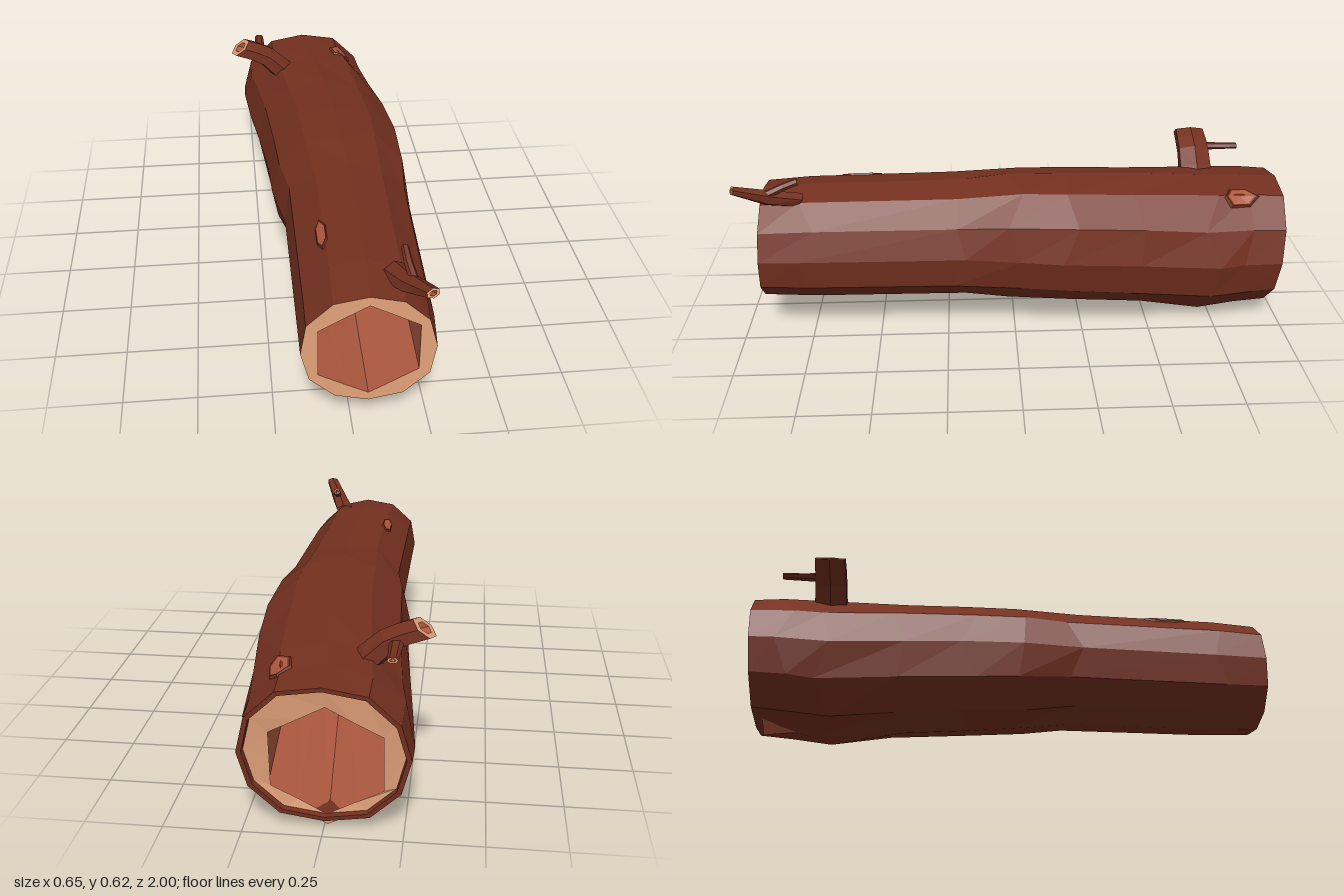
import * as THREE from 'three';

const mat = (color) => new THREE.MeshStandardMaterial({ color, flatShading: true, side: THREE.DoubleSide });
const bark = mat(0x74301f), wood = mat(0xe0a078), core = mat(0xb05a40);
const N = 12;
const V = (x, y, z) => new THREE.Vector3(x, y, z);

// Log cross-sections, front to back: z, xMin, xMax, yMin, yMax
const sections = [
  [0.922, -0.165, 0.265, 0.105, 0.51],
  [0.75, -0.165, 0.28, 0.1, 0.525],
  [0.2, -0.165, 0.3, 0.105, 0.535],
  [0, -0.2, 0.315, 0.075, 0.55],
  [-0.2, -0.21, 0.325, 0.06, 0.548],
  [-0.45, -0.23, 0.31, 0.035, 0.535],
  [-0.72, -0.258, 0.29, 0, 0.515],
  [-0.86, -0.275, 0.267, 0.01, 0.505],
  [-0.978, -0.272, 0.262, 0.02, 0.495],
];

// Skins a list of closed rings; each ring holds the same number of points
function loft(name, rings, material) {
  const pos = [];
  for (let k = 0; k < rings.length - 1; k++) {
    const A = rings[k], B = rings[k + 1];
    for (let i = 0; i < A.length; i++) {
      const j = (i + 1) % A.length;
      for (const p of [A[i], B[i], B[j], A[i], B[j], A[j]]) pos.push(p.x, p.y, p.z);
    }
  }
  const g = new THREE.BufferGeometry();
  g.setAttribute('position', new THREE.Float32BufferAttribute(pos, 3));
  g.computeVertexNormals();
  const mesh = new THREE.Mesh(g, material);
  mesh.name = name;
  return mesh;
}

// Uneven twelve-sided bark outline; the two ends lean slightly
function barkRing([z, x0, x1, y0, y1], k) {
  const lean = k === 0 ? -0.008 : k === sections.length - 1 ? -0.018 : 0;
  return Array.from({ length: N }, (_, i) => {
    const a = (i / N) * Math.PI * 2;
    const onAxis = i % 3 === 0;
    const f = onAxis ? 1 : 1.03 + 0.025 * Math.sin(i * 5.3 + Math.floor(k / 3) * 2.1);
    const shift = k > 0 && k < sections.length - 1 ? 0.03 * Math.sin(i * 2.7 + k * 1.9) : 0;
    return V((x0 + x1) / 2 + (x1 - x0) / 2 * f * Math.cos(a),
      (y0 + y1) / 2 + (y1 - y0) / 2 * f * Math.sin(a), z + shift + lean * Math.sin(a));
  });
}

// Hexagon carried by twelve points so that it joins the bark outline
function hexRing(cx, cy, rx, ry, z, lean = 0) {
  return Array.from({ length: N }, (_, i) => {
    const a = (i / N) * Math.PI * 2, f = i % 2 ? 1 : Math.cos(Math.PI / 6);
    return V(cx + rx / Math.cos(Math.PI / 6) * f * Math.cos(a), cy + ry * f * Math.sin(a), z + lean * Math.sin(a));
  });
}

function scaled(ring, s, dz = 0) {
  const c = ring.reduce((sum, p) => sum.add(p), V(0, 0, 0)).divideScalar(ring.length);
  return ring.map((p) => p.clone().sub(c).multiplyScalar(s).add(c).add(V(0, 0, dz)));
}

// Hollow branch: each step gives two opposite edge points and a half width along side
function branch(name, steps, side, hole = 0.55) {
  const rings = steps.map(([lo, hi, w]) => {
    const a = V(...lo), b = V(...hi);
    const c = a.clone().add(b).multiplyScalar(0.5), u = b.sub(a).multiplyScalar(0.5);
    return Array.from({ length: 6 }, (_, i) => {
      const t = (i / 6) * Math.PI * 2;
      return c.clone().addScaledVector(u, Math.cos(t)).addScaledVector(side, w * 1.12 * Math.sin(t));
    });
  });
  const tip = rings[rings.length - 1], inner = scaled(tip, hole);
  const deep = scaled(rings[rings.length - 2], hole);
  const g = new THREE.Group();
  g.name = name;
  g.add(loft(name + 'Bark', rings, bark), loft(name + 'CutEnd', [tip, inner], wood),
    loft(name + 'Hollow', [inner, deep, scaled(deep, 0.01)], core));
  return g;
}

// Point on the bark: u counts outline corners, z runs along the log
function onBark(rings, u, z, lift) {
  let k = 0;
  while (k < sections.length - 2 && sections[k + 1][0] > z) k++;
  const t = (z - sections[k][0]) / (sections[k + 1][0] - sections[k][0]);
  const i = Math.floor(u), f = u - i;
  const edge = (r) => r[i % N].clone().lerp(r[(i + 1) % N], f);
  const p = edge(rings[k]).lerp(edge(rings[k + 1]), t);
  return p.add(V(p.x - 0.03, p.y - 0.28, 0).setLength(lift));
}

// Knot hole: raised bark lip around an inner patch
function knot(name, rings, u, z, du, dz) {
  const outline = (s, lift) => Array.from({ length: 6 }, (_, i) => {
    const t = (-i / 6) * Math.PI * 2;
    return onBark(rings, u + du * s * Math.sin(t), z + dz * s * Math.cos(t), lift);
  });
  const lip = outline(1, 0.007), patch = outline(0.85, 0.005);
  const g = new THREE.Group();
  g.name = name;
  g.add(loft(name + 'Lip', [outline(1.2, -0.004), lip, patch], bark),
    loft(name + 'Patch', [patch, scaled(patch, 0.01)], core));
  return g;
}

export function createModel() {
  const model = new THREE.Group();
  model.name = 'hollowLog';

  // Trunk with a thin bark lip around the recessed rear wood
  const outer = sections.map(barkRing);
  const back = outer[outer.length - 1];
  const lip = scaled(back, 0.94), recess = scaled(back, 0.93, 0.02);
  model.add(loft('trunkBark', [...outer, lip, recess], bark));

  // Cut ends and the bent hexagonal hollow
  const frontHex = hexRing(0.05, 0.306, 0.16, 0.172, 0.922, -0.006);
  const midHex = hexRing(0.06, 0.315, 0.165, 0.174, 0.1);
  const backHex = hexRing(-0.01, 0.21, 0.19, 0.22, -0.93);
  const backHole = hexRing(-0.01, 0.224, 0.175, 0.192, -0.95, -0.015);
  model.add(loft('frontCutEnd', [frontHex, outer[0]], wood));
  model.add(loft('rearCutEnd', [recess, backHole, backHex], wood));
  model.add(loft('hollow', [backHex, midHex, frontHex], core));

  // Large curved branch at the rear and its twig
  const zb = -0.715;
  model.add(branch('rearBranch', [
    [[-0.13, 0.42, zb], [-0.06, 0.48, zb], 0.06],
    [[-0.16, 0.452, zb], [-0.09, 0.512, zb], 0.06],
    [[-0.21, 0.505, zb], [-0.15, 0.565, zb], 0.058],
    [[-0.265, 0.532, zb], [-0.2, 0.588, zb], 0.057],
    [[-0.325, 0.552, zb], [-0.25, 0.605, zb], 0.055],
  ], V(0, 0, 1)));
  model.add(branch('rearTwig', [
    [[-0.23, 0.545, -0.74], [-0.18, 0.545, -0.74], 0.014],
    [[-0.225, 0.543, -0.8], [-0.183, 0.543, -0.8], 0.011],
    [[-0.22, 0.543, -0.89], [-0.185, 0.543, -0.89], 0.009],
  ], V(0, 1, 0)));

  // Small front branch and its twig
  model.add(branch('frontBranch', [
    [[0.135, 0.47, 0.8], [0.145, 0.525, 0.76], 0.036],
    [[0.175, 0.495, 0.89], [0.175, 0.55, 0.86], 0.03],
    [[0.225, 0.56, 0.998], [0.222, 0.588, 0.985], 0.022],
  ], V(0.93, 0, -0.37)));
  model.add(branch('frontTwig', [
    [[0.172, 0.535, 0.89], [0.205, 0.535, 0.89], 0.014],
    [[0.163, 0.565, 0.82], [0.192, 0.565, 0.82], 0.012],
    [[0.162, 0.583, 0.77], [0.188, 0.583, 0.77], 0.012],
  ], V(0, 1, 0.2)));

  // Knots on the upper bark
  model.add(knot('rearKnot', outer, 1.95, -0.82, 0.3, 0.065));
  model.add(knot('frontKnot', outer, 4.1, 0.555, 0.18, 0.075));
  return model;
}
